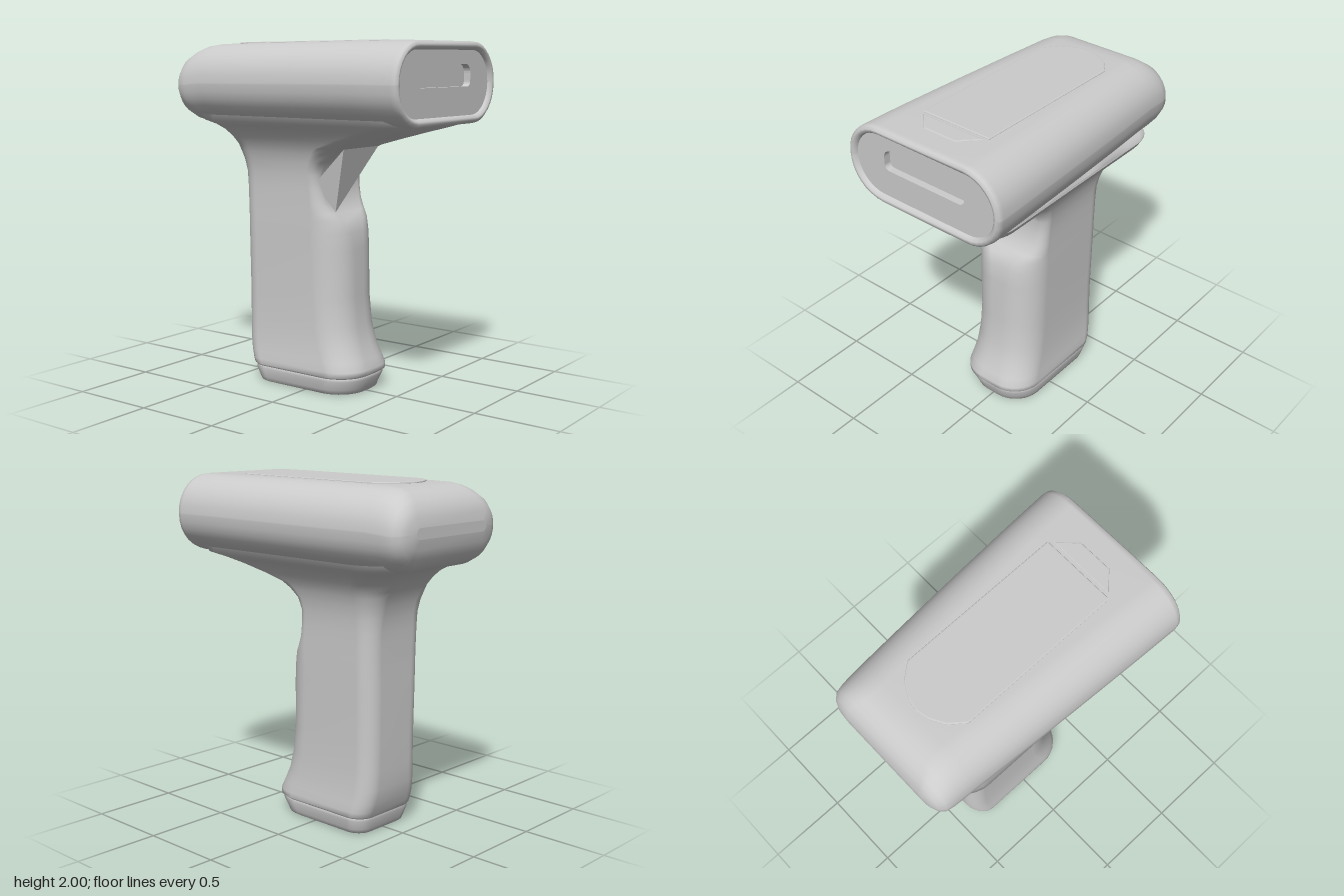
import * as THREE from 'three';

const material = new THREE.MeshStandardMaterial({ color: 0xcccccc, side: THREE.DoubleSide });
const STEPS = 8;

// Rounded rectangle, counter-clockwise, spanning x = ±hw and y = lo..hi
function ring(hw, lo, hi, rLo, rHi = rLo) {
  const points = [];
  const corners = [[1, lo, rLo, -0.5], [1, hi, rHi, 0], [-1, hi, rHi, 0.5], [-1, lo, rLo, 1]];
  for (const [side, edge, radius, start] of corners) {
    const r = Math.min(radius, hw * 0.98, (hi - lo) * 0.49);
    const cy = edge === lo ? lo + r : hi - r;
    for (let i = 0; i <= STEPS; i++) {
      const a = Math.PI * (start + 0.5 * i / STEPS);
      points.push(new THREE.Vector2(side * (hw - r) + r * Math.cos(a), cy + r * Math.sin(a)));
    }
  }
  return points;
}

// Skin through rings stacked along z, with optional flat ends
function loft(sections, capStart, capEnd) {
  const n = sections[0].points.length;
  const position = [], index = [];
  for (const { z, points } of sections) for (const p of points) position.push(p.x, p.y, z);
  for (let s = 0; s < sections.length - 1; s++) {
    for (let i = 0; i < n; i++) {
      const a = s * n + i, b = s * n + (i + 1) % n;
      index.push(a, b, b + n, a, b + n, a + n);
    }
  }
  const cap = ({ z, points }, flip) => {
    const base = position.length / 3;
    const lo = Math.min(...points.map((p) => p.y)), hi = Math.max(...points.map((p) => p.y));
    position.push(0, (lo + hi) / 2, z);
    for (const p of points) position.push(p.x, p.y, z);
    for (let i = 0; i < n; i++) {
      const a = base + 1 + i, b = base + 1 + (i + 1) % n;
      index.push(base, flip ? b : a, flip ? a : b);
    }
  };
  if (capStart) cap(sections[0], true);
  if (capEnd) cap(sections[sections.length - 1], false);
  const geometry = new THREE.BufferGeometry();
  geometry.setAttribute('position', new THREE.Float32BufferAttribute(position, 3));
  geometry.setIndex(index);
  geometry.computeVertexNormals();
  return geometry;
}

// Upright loft; rows are [y, half width, front z, back z, front radius, back radius]
function uprightLoft(rows, capStart, capEnd) {
  return loft(rows.map(([y, hw, front, back, rF, rB]) => (
    { z: y, points: ring(hw, -front, -back, rF, rB) })), capStart, capEnd).rotateX(-Math.PI / 2);
}

export function createModel() {
  const model = new THREE.Group();
  const add = (name, geometry) => {
    const mesh = new THREE.Mesh(geometry, material);
    mesh.name = name;
    model.add(mesh);
    return mesh;
  };

  // Scanning head: [z, half width, bottom, top], ending in an inset front rim
  const headRows = [
    [-0.81, 0.29, 1.72, 1.78], [-0.802, 0.35, 1.665, 1.83], [-0.785, 0.39, 1.615, 1.873],
    [-0.755, 0.416, 1.57, 1.915], [-0.71, 0.424, 1.54, 1.948], [-0.66, 0.428, 1.53, 1.968],
    [-0.58, 0.433, 1.53, 1.979], [-0.3, 0.453, 1.53, 1.983], [0.1, 0.478, 1.535, 1.987],
    [0.5, 0.5, 1.54, 1.99], [0.77, 0.512, 1.54, 1.99], [0.798, 0.508, 1.545, 1.986],
    [0.81, 0.493, 1.56, 1.971], [0.808, 0.48, 1.573, 1.958], [0.795, 0.467, 1.586, 1.945],
    [0.775, 0.462, 1.591, 1.94],
  ];
  add('head', loft(headRows.map(([z, hw, lo, hi]) => ({ z, points: ring(hw, lo, hi, 1) })), true, false));

  // Front face with its window slot
  const face = new THREE.Shape(ring(0.466, 1.587, 1.944, 1));
  face.holes.push(new THREE.Path(ring(0.27, 1.745, 1.867, 0.03, 0.05).reverse()));
  add('frontFace', new THREE.ExtrudeGeometry(face, { depth: 0.05, bevelEnabled: false })).position.z = 0.735;
  add('scanWindow', new THREE.BoxGeometry(0.6, 0.16, 0.02)).position.set(0, 1.806, 0.735);

  // Handle with finger notch, flaring into the head
  add('handle', uprightLoft([
    [0.1, 0.232, 0.325, -0.385, 0.18, 0.1], [0.112, 0.243, 0.342, -0.393, 0.18, 0.1],
    [0.14, 0.243, 0.342, -0.402, 0.18, 0.1], [0.19, 0.236, 0.32, -0.418, 0.18, 0.1],
    [0.27, 0.227, 0.287, -0.432, 0.18, 0.1], [0.38, 0.222, 0.26, -0.436, 0.18, 0.1],
    [0.55, 0.22, 0.243, -0.438, 0.18, 0.1], [0.82, 0.224, 0.237, -0.44, 0.18, 0.1],
    [0.92, 0.226, 0.224, -0.44, 0.17, 0.1], [0.99, 0.227, 0.203, -0.44, 0.15, 0.1],
    [1.03, 0.227, 0.16, -0.441, 0.1, 0.1], [1.09, 0.228, 0.122, -0.442, 0.07, 0.1],
    [1.17, 0.229, 0.105, -0.444, 0.06, 0.1], [1.25, 0.234, 0.1, -0.451, 0.06, 0.11],
    [1.32, 0.246, 0.125, -0.467, 0.07, 0.12], [1.37, 0.262, 0.19, -0.485, 0.1, 0.13],
    [1.405, 0.277, 0.265, -0.502, 0.14, 0.15], [1.45, 0.303, 0.43, -0.535, 0.18, 0.17],
    [1.49, 0.335, 0.58, -0.575, 0.2, 0.19], [1.52, 0.368, 0.69, -0.62, 0.2, 0.2],
    [1.545, 0.41, 0.765, -0.67, 0.18, 0.2], [1.58, 0.43, 0.77, -0.68, 0.18, 0.2],
  ], true, false));

  // Foot cap below the seam
  add('footCap', uprightLoft([
    [0, 0.2, 0.29, -0.35, 0.17, 0.09], [0.008, 0.213, 0.3, -0.36, 0.17, 0.09],
    [0.03, 0.222, 0.308, -0.37, 0.18, 0.1], [0.085, 0.236, 0.33, -0.384, 0.18, 0.1],
    [0.1, 0.23, 0.323, -0.38, 0.18, 0.1],
  ], true, true));

  // Trigger: a thin sloping blade hung from the underside of the head
  const trigger = new THREE.BufferGeometry();
  trigger.setAttribute('position', new THREE.Float32BufferAttribute([
    -0.18, 1.4, 0.255, -0.13, 1.04, 0.165, 0.16, 1.4, 0.255,
    -0.18, 1.4, 0.255, -0.2, 1.2, 0.07, -0.13, 1.04, 0.165,
  ], 3));
  trigger.computeVertexNormals();
  add('trigger', trigger);

  // Shallow top panel with arched rear end, and a small pad before it
  const flat = (points, depth) => new THREE.ExtrudeGeometry(
    new THREE.Shape(points.map(([x, z]) => new THREE.Vector2(x, -z))),
    { depth, bevelThickness: 0.004, bevelSize: 0.008, bevelSegments: 2 }).rotateX(-Math.PI / 2);
  const panel = add('topPanel', flat([
    [-0.215, 0.53], [0.215, 0.53], [0.215, -0.42], [0.15, -0.5], [0.07, -0.545], [0, -0.56],
    [-0.07, -0.545], [-0.15, -0.5], [-0.215, -0.42],
  ], 0.004));
  panel.position.y = 1.984;
  panel.rotation.x = -0.008;
  add('topPad', flat([[-0.1, 0.65], [0.1, 0.65], [0.19, 0.56], [-0.19, 0.56]], 0.002)).position.y = 1.988;

  return model;
}
